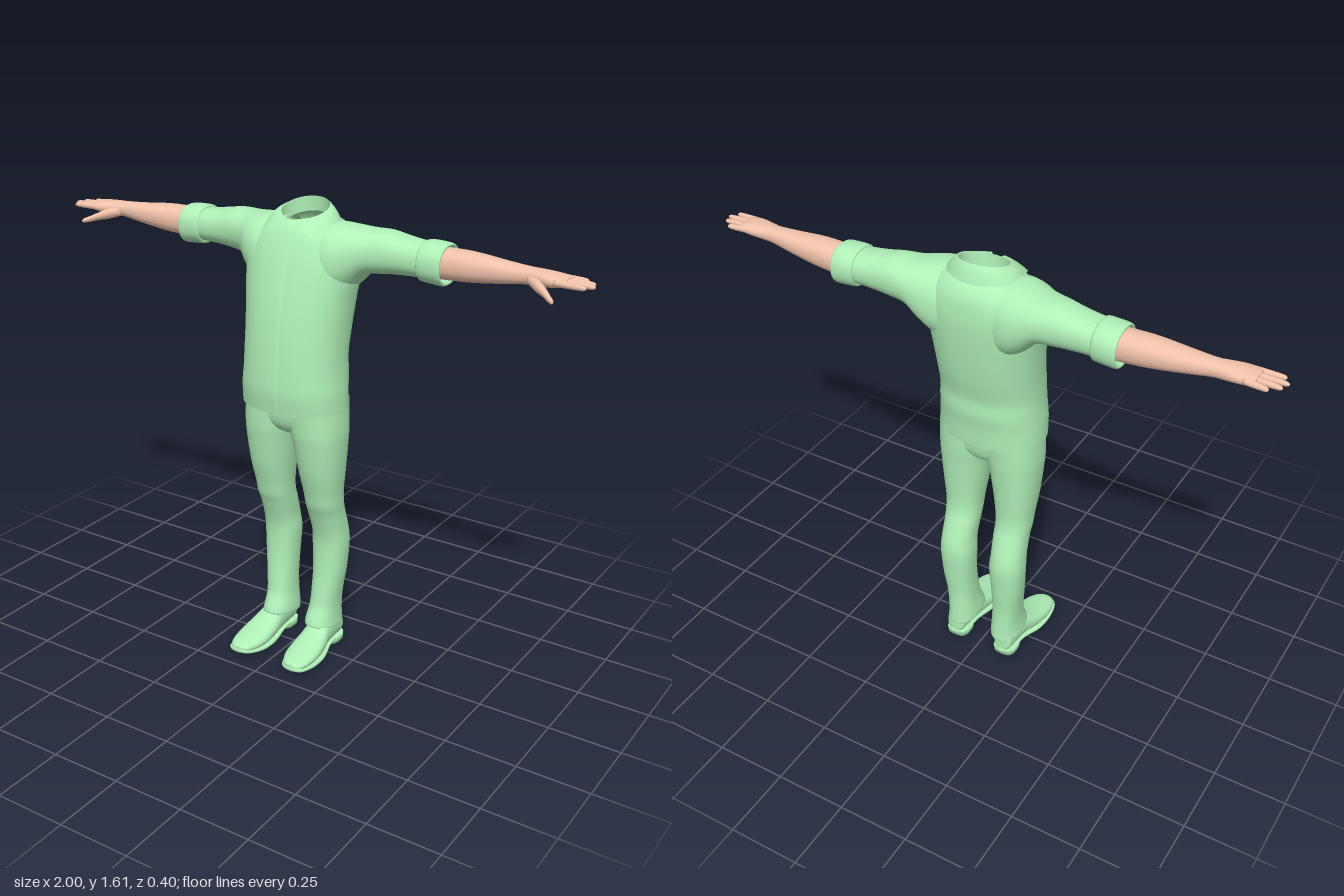
import * as THREE from 'three';

const green = new THREE.MeshStandardMaterial({ color: 0xb0f0b8, side: THREE.DoubleSide });
const skin = new THREE.MeshStandardMaterial({ color: 0xf0c2aa, side: THREE.DoubleSide });

// Catmull-Rom value of a section list at parameter t (in section units)
function sectionAt(secs, t) {
  const i = Math.min(Math.floor(t), secs.length - 2), f = t - i;
  const at = k => secs[Math.max(0, Math.min(secs.length - 1, k))];
  return secs[i].map((p1, c) => {
    const p0 = at(i - 1)[c], p2 = at(i + 1)[c], p3 = at(i + 2)[c];
    return 0.5 * (2 * p1 + (p2 - p0) * f + (2 * p0 - 5 * p1 + 4 * p2 - p3) * f * f
      + (3 * p1 - p0 - 3 * p2 + p3) * f * f * f);
  });
}

// Loft of rounded rings; a section is [pos, minA, maxA, minB, maxB].
// axis y: A=x B=z; axis x: A=y B=z; axis z: A=x B=y
function loft(name, mat, axis, secs, { n = 32, steps = 5, e = 2.3, cap = true, tweak } = {}) {
  const rings = [], pos = [], idx = [];
  const count = (secs.length - 1) * steps;
  for (let i = 0; i <= count; i++) rings.push(sectionAt(secs, i / steps));
  if (cap) {
    const tip = ([p, a0, a1, b0, b1]) => [p, (a0 + a1) / 2, (a0 + a1) / 2, (b0 + b1) / 2, (b0 + b1) / 2];
    rings.unshift(tip(rings[0]));
    rings.push(tip(rings[rings.length - 1]));
  }
  const pw = v => Math.sign(v) * Math.abs(v) ** (2 / e);
  for (const [p, a0, a1, b0, b1] of rings) {
    for (let j = 0; j < n; j++) {
      const t = j / n * Math.PI * 2;
      const a = (a0 + a1) / 2 + (a1 - a0) / 2 * pw(Math.cos(t));
      const b = (b0 + b1) / 2 + (b1 - b0) / 2 * pw(Math.sin(t));
      const v = new THREE.Vector3(...(axis === 'y' ? [a, p, b] : axis === 'x' ? [p, a, b] : [a, b, p]));
      if (tweak) tweak(v);
      pos.push(v.x, v.y, v.z);
    }
  }
  for (let i = 0; i < rings.length - 1; i++) {
    for (let j = 0; j < n; j++) {
      const k = (j + 1) % n, a = i * n + j, b = i * n + k, c = a + n, d = b + n;
      if (axis === 'y') idx.push(a, c, b, b, c, d);
      else idx.push(a, b, c, b, d, c);
    }
  }
  return surface(name, mat, pos, idx);
}

function surface(name, mat, pos, idx) {
  const g = new THREE.BufferGeometry();
  g.setAttribute('position', new THREE.Float32BufferAttribute(pos, 3));
  g.setIndex(idx);
  g.computeVertexNormals();
  const m = new THREE.Mesh(g, mat);
  m.name = name;
  return m;
}

// Grid surface from a function f(u, v) -> [x, y, z]
function sheet(name, mat, nu, nv, f) {
  const pos = [], idx = [];
  for (let i = 0; i <= nu; i++) for (let j = 0; j <= nv; j++) pos.push(...f(i / nu, j / nv));
  for (let i = 0; i < nu; i++) for (let j = 0; j < nv; j++) {
    const a = i * (nv + 1) + j, c = a + nv + 1;
    idx.push(a, c, a + 1, a + 1, c, c + 1);
  }
  return surface(name, mat, pos, idx);
}

const torso = [
  [0.93, -0.187, 0.187, -0.145, 0.126], [1.0, -0.185, 0.185, -0.15, 0.135],
  [1.06, -0.18, 0.18, -0.158, 0.134], [1.12, -0.178, 0.178, -0.158, 0.13],
  [1.2, -0.18, 0.18, -0.175, 0.122], [1.3, -0.188, 0.188, -0.19, 0.106],
  [1.4, -0.2, 0.2, -0.2, 0.083], [1.46, -0.198, 0.198, -0.2, 0.066],
  [1.51, -0.17, 0.17, -0.193, 0.048], [1.545, -0.13, 0.13, -0.175, 0.028],
  [1.565, -0.085, 0.085, -0.15, 0.005],
];

function shirt() {
  const g = new THREE.Group();
  g.name = 'shirt';
  g.add(loft('shirtBody', green, 'y', torso, { n: 48, cap: false }));
  // inner fold of the hem
  g.add(loft('shirtHem', green, 'y', [[0.93, -0.187, 0.187, -0.145, 0.126], [0.934, -0.17, 0.17, -0.13, 0.08]],
    { n: 48, cap: false }));
  // front placket follows the body's front line
  g.add(sheet('placket', green, 40, 4, (u, v) => {
    const s = sectionAt(torso, u * 8.2);
    return [-0.016 + 0.04 * v, s[0], s[4] + (v === 1 ? -0.002 : 0.003)];
  }));
  // collar: inner band, then leaf folded over the outside with two front points
  const top = t => [0.08 * Math.sin(t), 1.589 - 0.022 * Math.cos(t), -0.068 + 0.077 * Math.cos(t)];
  g.add(sheet('collarBand', green, 40, 4, (u, v) => {
    const t = u * Math.PI * 2, p = top(t);
    return [p[0] * (1 - 0.06 * v), p[1] - 0.05 * v, p[2] - 0.004 * v];
  }));
  g.add(sheet('collarLeaf', green, 48, 5, (u, v) => {
    const t = 0.22 + u * (Math.PI * 2 - 0.44), p = top(t);
    const d = Math.min(t, Math.PI * 2 - t);
    const point = Math.max(0, 1 - Math.abs(d - 0.7) / 0.55);
    const low = [0.123 * Math.sin(t) + Math.sign(Math.sin(t)) * 0.012 * point,
      1.553 - 0.03 * point, -0.068 + 0.1 * Math.cos(t) + 0.034 * point];
    const bulge = 0.008 * Math.sin(Math.PI * v);
    return p.map((c, i) => c + (low[i] - c) * v + (i === 1 ? bulge : 0));
  }));
  return g;
}

function arm() {
  const g = new THREE.Group();
  g.add(loft('sleeve', green, 'x', [
    [0.07, 1.3, 1.555, -0.18, 0.03], [0.13, 1.31, 1.556, -0.195, 0.045], [0.18, 1.345, 1.551, -0.196, 0.03],
    [0.23, 1.395, 1.545, -0.192, -0.005], [0.29, 1.405, 1.545, -0.186, -0.026],
    [0.35, 1.41, 1.535, -0.181, -0.036], [0.4, 1.412, 1.528, -0.178, -0.04], [0.46, 1.412, 1.522, -0.176, -0.045],
  ], { cap: false }));
  // rolled cuff, turned inward at both ends
  g.add(loft('cuff', green, 'x', [
    [0.425, 1.412, 1.52, -0.172, -0.048], [0.427, 1.402, 1.532, -0.183, -0.038],
    [0.465, 1.398, 1.533, -0.186, -0.037], [0.5, 1.396, 1.53, -0.184, -0.038],
    [0.506, 1.402, 1.524, -0.178, -0.044], [0.495, 1.408, 1.518, -0.173, -0.049], [0.43, 1.41, 1.518, -0.172, -0.05],
  ], { cap: false, steps: 3 }));
  g.add(loft('forearm', skin, 'x', [
    [0.43, 1.415, 1.515, -0.163, -0.055], [0.52, 1.418, 1.518, -0.162, -0.056], [0.6, 1.424, 1.517, -0.157, -0.055],
    [0.7, 1.437, 1.508, -0.144, -0.06], [0.78, 1.449, 1.503, -0.132, -0.066], [0.82, 1.452, 1.502, -0.133, -0.058],
    [0.86, 1.455, 1.5, -0.136, -0.047], [0.9, 1.462, 1.495, -0.136, -0.045], [0.915, 1.468, 1.49, -0.133, -0.05],
  ], { n: 24 }));
  // fingers: [base z, tip z, tip x]
  [[-0.056, -0.05, 0.982], [-0.08, -0.078, 1.0], [-0.103, -0.106, 0.99], [-0.126, -0.133, 0.958]].forEach(([z0, z1, x1], i) => {
    const secs = [0, 0.4, 0.8, 0.95, 1].map((f, k) => {
      const r = [0.0115, 0.0105, 0.009, 0.0065, 0.002][k], z = z0 + (z1 - z0) * f, y = 1.479 - 0.002 * f;
      return [0.88 + (x1 - 0.88) * f, y - r, y + r, z - r, z + r];
    });
    g.add(loft('finger' + (i + 1), skin, 'x', secs, { n: 12, steps: 3, e: 2 }));
  });
  g.add(loft('thumb', skin, 'x', [
    [0.79, 1.455, 1.485, -0.095, -0.062], [0.825, 1.444, 1.482, -0.078, -0.035], [0.86, 1.438, 1.466, -0.05, -0.015],
    [0.885, 1.432, 1.453, -0.024, 0.002], [0.9, 1.43, 1.446, -0.008, 0.01], [0.905, 1.434, 1.44, 0, 0.008],
  ], { n: 14, e: 2 }));
  return g;
}

function leg() {
  const g = new THREE.Group();
  g.add(loft('trouserLeg', green, 'y', [
    [0.085, 0.05, 0.135, -0.13, 0.01], [0.083, 0.036, 0.146, -0.14, 0.026], [0.11, 0.036, 0.144, -0.139, 0.02],
    [0.16, 0.042, 0.142, -0.137, 0], [0.22, 0.044, 0.147, -0.137, -0.01], [0.3, 0.043, 0.157, -0.145, -0.02],
    [0.4, 0.038, 0.163, -0.152, -0.022], [0.46, 0.041, 0.161, -0.145, -0.013], [0.53, 0.038, 0.16, -0.123, 0.01],
    [0.57, 0.037, 0.163, -0.11, 0.026], [0.62, 0.034, 0.166, -0.105, 0.038], [0.7, 0.024, 0.175, -0.11, 0.06],
    [0.8, 0.01, 0.183, -0.118, 0.078], [0.86, 0, 0.185, -0.124, 0.086], [0.96, -0.005, 0.18, -0.13, 0.09],
  ], { cap: false, tweak: v => { v.y += Math.max(0, 1 - v.y / 0.2) * 0.25 * (v.z + 0.06); } }));
  // shoe upper, sole and heel
  g.add(loft('shoe', green, 'z', [
    [-0.13, 0.085, 0.115, 0.03, 0.075], [-0.122, 0.066, 0.133, 0.018, 0.1], [-0.07, 0.058, 0.14, 0.016, 0.12],
    [-0.01, 0.054, 0.146, 0.014, 0.11], [0.04, 0.049, 0.158, 0.01, 0.084], [0.09, 0.047, 0.164, 0.008, 0.066],
    [0.14, 0.054, 0.162, 0.009, 0.054], [0.18, 0.073, 0.15, 0.012, 0.044], [0.197, 0.095, 0.13, 0.018, 0.036],
  ], { n: 24 }));
  g.add(loft('sole', green, 'z', [
    [-0.132, 0.08, 0.12, 0.016, 0.028], [-0.115, 0.06, 0.138, 0.015, 0.028], [-0.03, 0.057, 0.142, 0.012, 0.026],
    [0.04, 0.045, 0.162, 0.003, 0.02], [0.09, 0.042, 0.168, 0.002, 0.018], [0.14, 0.049, 0.166, 0.004, 0.02],
    [0.185, 0.071, 0.154, 0.01, 0.025], [0.203, 0.098, 0.128, 0.017, 0.028],
  ], { n: 24, e: 3.5 }));
  g.add(loft('heel', green, 'y', [[0, 0.058, 0.141, -0.131, -0.045], [0.024, 0.057, 0.142, -0.133, -0.038]],
    { n: 24, e: 3, steps: 1 }));
  return g;
}

export function createModel() {
  const model = new THREE.Group();
  model.name = 'clothedFigure';
  model.add(shirt());
  // seat of the trousers joining both legs
  model.add(loft('trouserSeat', green, 'y', [
    [0.828, -0.02, 0.02, -0.06, 0.02], [0.845, -0.075, 0.075, -0.1, 0.055], [0.875, -0.14, 0.14, -0.118, 0.078],
    [0.92, -0.176, 0.176, -0.126, 0.088], [0.97, -0.176, 0.176, -0.13, 0.09],
  ]));
  for (const [side, s] of [['left', 1], ['right', -1]]) {
    for (const [part, make] of [['Arm', arm], ['Leg', leg]]) {
      const g = make();
      g.name = side + part;
      g.scale.x = s;
      model.add(g);
    }
  }
  return model;
}
